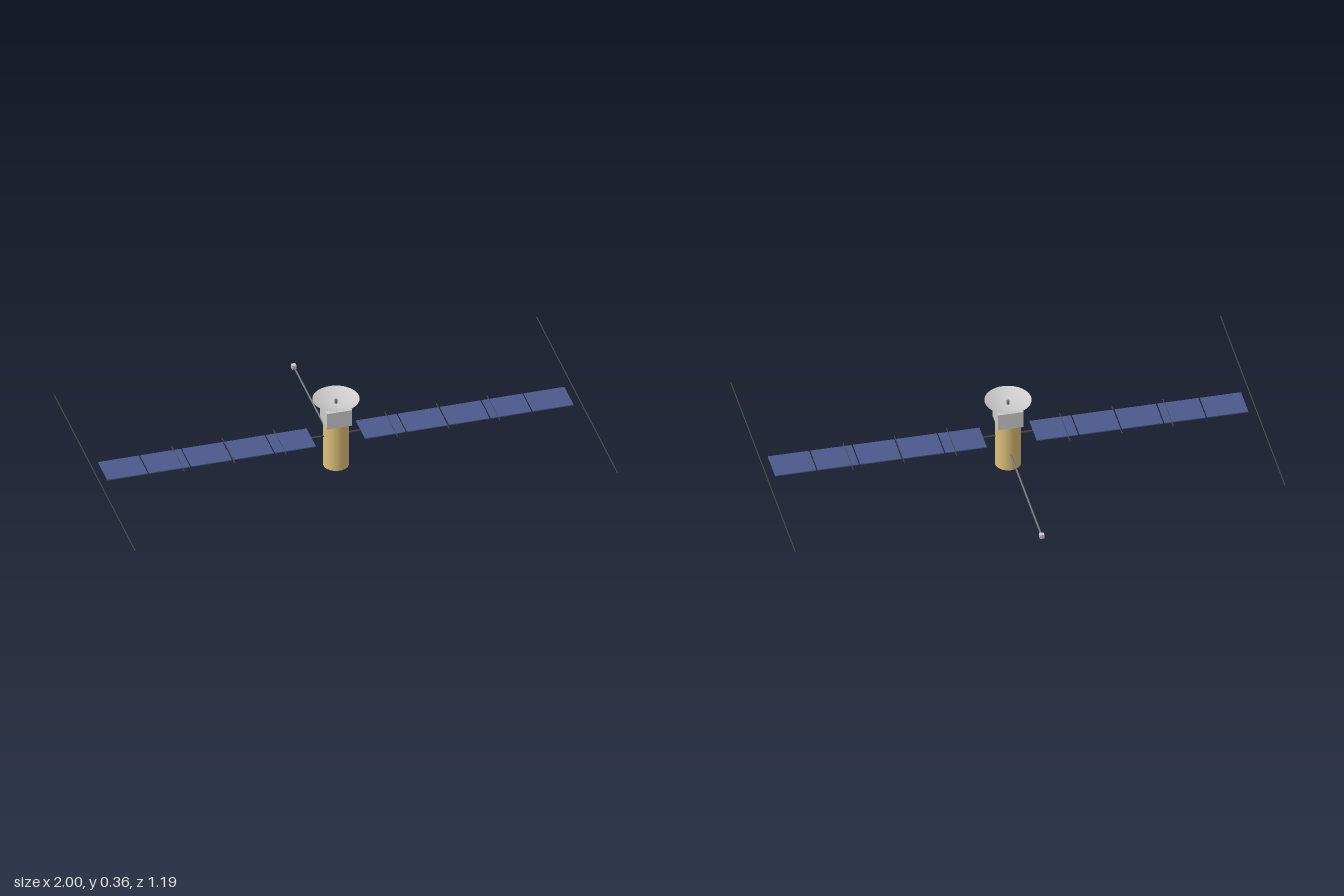
import * as THREE from 'three';

const ZC = 0.0175; // main axis of the spacecraft
const WING_Y = 0.187;

export function createModel() {
  const model = new THREE.Group();
  model.name = 'satellite';
  const mat = (color, side = THREE.FrontSide) => new THREE.MeshStandardMaterial({ color, side });
  const grey = mat(0xcccccc), gold = mat(0xdcc07a), dark = mat(0x444448);
  const blue = mat(0x4c5a8c), dishGrey = mat(0xcccccc, THREE.DoubleSide), boomGrey = mat(0x77777a);

  const add = (name, geometry, material, x, y, z, parent = model) => {
    const mesh = new THREE.Mesh(geometry, material);
    mesh.name = name;
    mesh.position.set(x, y, z);
    parent.add(mesh);
    return mesh;
  };
  const rod = (name, r, length, axis, material, x, y, z, parent) => {
    const g = new THREE.CylinderGeometry(r, r, length, 8);
    if (axis === 'x') g.rotateZ(Math.PI / 2);
    if (axis === 'z') g.rotateX(Math.PI / 2);
    return add(name, g, material, x, y, z, parent);
  };

  // Foil-covered body, equipment box and pointed nose below
  add('body', new THREE.CylinderGeometry(0.052, 0.052, 0.207, 32), gold, 0, 0.1485, ZC);
  add('equipmentBox', new THREE.BoxGeometry(0.104, 0.074, 0.104), grey, 0, 0.288, ZC);
  add('noseCone', new THREE.ConeGeometry(0.031, 0.045, 32).rotateX(Math.PI), dark, 0, 0.0225, ZC);

  // Dish antenna: shallow bowl on a short neck with a small feed
  const profile = [];
  for (let i = 0; i <= 10; i++) {
    const t = i / 10;
    profile.push(new THREE.Vector2(0.094 * t, 0.021 * t * t));
  }
  add('dish', new THREE.LatheGeometry(profile, 40), dishGrey, 0, 0.335, ZC);
  rod('dishNeck', 0.007, 0.014, 'y', grey, 0, 0.33, ZC);
  rod('dishFeed', 0.006, 0.018, 'y', boomGrey, 0, 0.344, ZC);

  // Rear boom with sensor block
  rod('rearBoom', 0.004, 0.56, 'z', boomGrey, 0, 0.121, -0.305);
  add('boomSensor', new THREE.BoxGeometry(0.018, 0.018, 0.018), grey, 0, 0.121, -0.586);

  // Solar wings, mirrored left and right
  for (const s of [1, -1]) {
    const wing = new THREE.Group();
    wing.name = s > 0 ? 'leftWing' : 'rightWing';
    model.add(wing);
    rod('wingStrut', 0.004, 0.06, 'x', dark, s * 0.072, WING_Y, ZC, wing);
    for (let i = 0; i < 5; i++) {
      add('solarPanel', new THREE.BoxGeometry(0.168, 0.004, 0.132), blue,
        s * (0.186 + 0.1735 * i), WING_Y, 0.0155, wing);
    }
    // Thin spine joining the panels, and cross rods
    add('wingSpine', new THREE.BoxGeometry(0.86, 0.002, 0.004), dark, s * 0.533, WING_Y, 0.0155, wing);
    for (const x of [0.23, 0.443, 0.652]) {
      rod('crossRod', 0.0025, 0.185, 'z', dark, s * x, WING_Y, 0.0135, wing);
    }
    // Long whip antenna beyond the wing tip
    rod('whipAntenna', 0.0025, 1.155, 'z', dark, s * 0.9975, WING_Y, ZC, wing);
  }
  return model;
}
